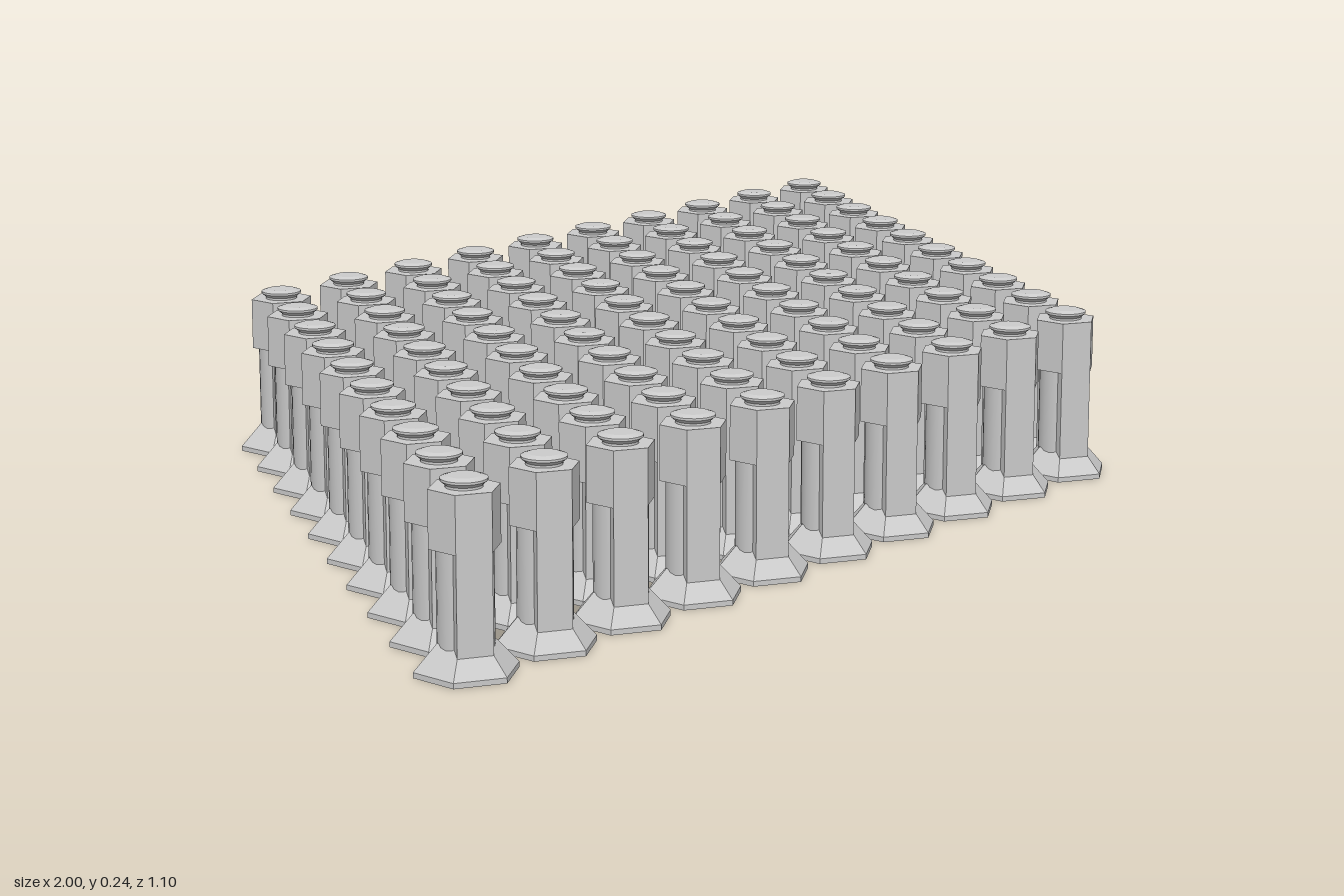
import * as THREE from 'three';

const SIDES = 6, HEAD_R = 0.045, BASE_R = 0.066;
const COUNT = 10, STEP_X = 0.14, STEP_Z = 0.108;

export function createModel() {
  const model = new THREE.Group();
  model.name = 'postArray';
  const flat = new THREE.MeshStandardMaterial({ color: 0xcccccc, flatShading: true });
  const smooth = new THREE.MeshStandardMaterial({ color: 0xcccccc });

  // Upright prism or frustum between two heights, corners toward +z and -z
  const prism = (rTop, rBottom, y0, y1, sides = SIDES) =>
    new THREE.CylinderGeometry(rTop, rBottom, y1 - y0, sides).translate(0, (y0 + y1) / 2, 0);

  // Slab joining two opposite faces of the hexagonal head down to the foot
  const web = new THREE.BoxGeometry(HEAD_R, 0.14, HEAD_R * Math.sqrt(3));
  web.translate(0, 0.09, 0).rotateY(-Math.PI / 6);

  // Round button that widens upward and has a bevelled top
  const button = new THREE.LatheGeometry([
    [0.023, 0.228], [0.023, 0.232], [0.029, 0.237], [0.029, 0.240], [0.02, 0.243], [0, 0.243],
  ].map(([r, y]) => new THREE.Vector2(r, y)), 24);

  const parts = [
    ['footPlate', prism(BASE_R, BASE_R, 0, 0.007), flat],
    ['footFlare', prism(HEAD_R, BASE_R, 0.007, 0.03), flat],
    ['footCollar', prism(0.036, HEAD_R, 0.03, 0.04), flat],
    ['shaft', prism(0.035, 0.035, 0.03, 0.16, 24), smooth],
    ['web', web, flat],
    ['head', prism(HEAD_R, HEAD_R, 0.156, 0.229), flat],
    ['button', button, flat],
  ];

  // Sheared grid: each row further back shifts half a step toward +x
  const mid = (COUNT - 1) / 2;
  for (let row = 0; row < COUNT; row++) {
    for (let col = 0; col < COUNT; col++) {
      const post = new THREE.Group();
      post.name = `post_${row}_${col}`;
      for (const [name, geometry, material] of parts) {
        const mesh = new THREE.Mesh(geometry, material);
        mesh.name = name;
        post.add(mesh);
      }
      post.position.set((col - mid + (row - mid) / 2) * STEP_X, 0, (mid - row) * STEP_Z);
      model.add(post);
    }
  }
  return model;
}
